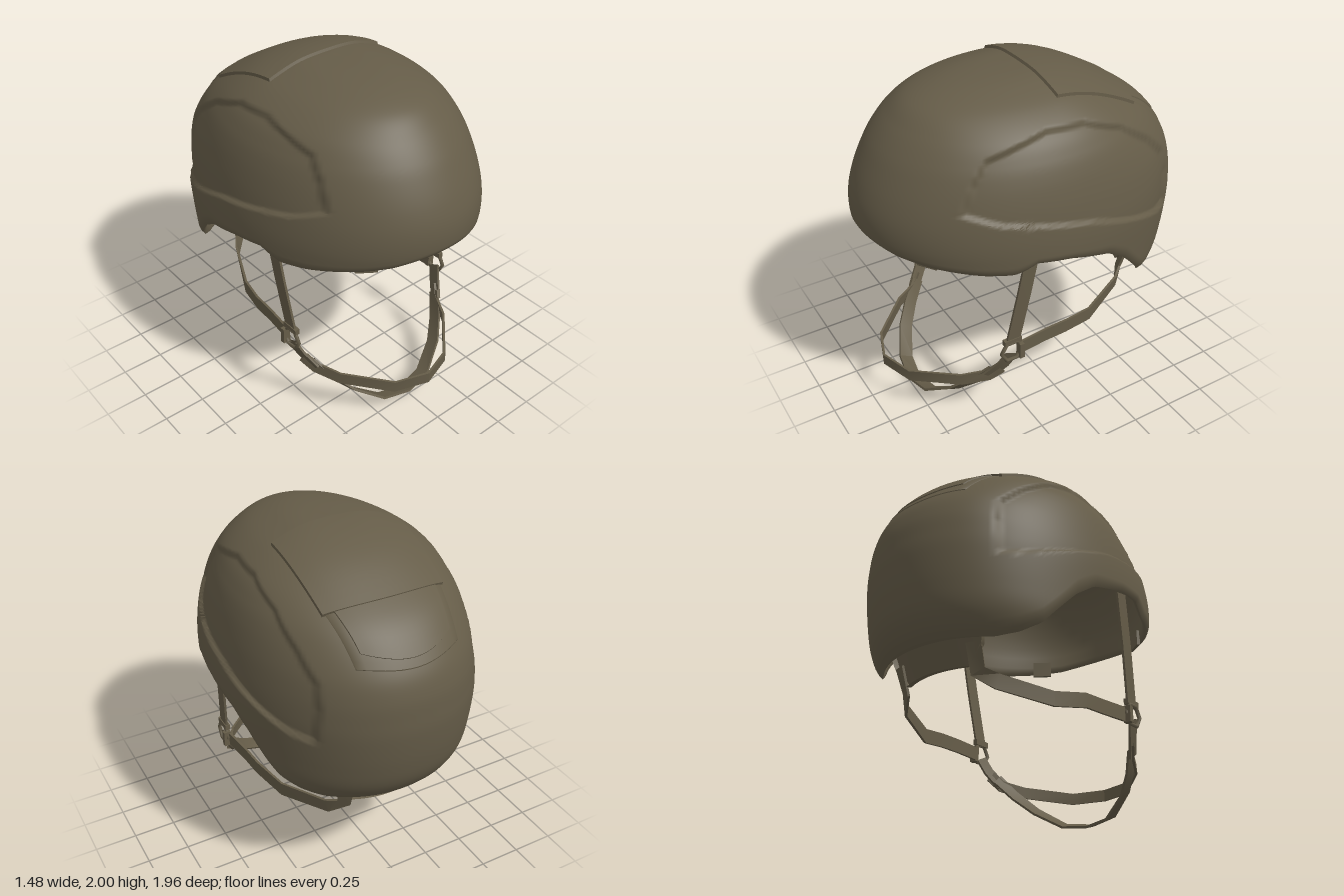
import * as THREE from 'three';
import { toCreasedNormals } from 'three/addons/utils/BufferGeometryUtils.js';

const olive = new THREE.MeshStandardMaterial({ color: 0x655c48, side: THREE.DoubleSide });
olive.name = 'olive drab';

// Horizontal sections of the shell, crown to hem: height, front, back and side reach
const Y = [1.985, 1.976, 1.947, 1.89, 1.8, 1.7, 1.6, 1.48, 1.365, 1.25, 1.13, 0.95, 0.8, 0.66];
const FRONT = [0, 0.25, 0.46, 0.63, 0.74, 0.825, 0.885, 0.94, 0.972, 0.975, 0.95, 0.93, 0.92, 0.9];
const BACK = [0, 0.1, 0.24, 0.4, 0.57, 0.735, 0.84, 0.925, 0.965, 0.978, 0.98, 0.96, 0.92, 0.83];
const SIDE = [0, 0.16, 0.28, 0.42, 0.545, 0.617, 0.662, 0.697, 0.72, 0.735, 0.738, 0.73, 0.72, 0.69];

// Hem height against the cosine of the azimuth (-1 = back, 1 = front)
const HEM = [[-1, 0.67], [-0.82, 0.67], [-0.7, 0.7], [-0.57, 0.76], [-0.46, 0.86], [-0.34, 0.97], [-0.2, 1.06],
  [0.07, 1.13], [0.28, 1.155], [0.35, 1.12], [0.41, 1.1], [0.57, 1.11], [0.8, 1.145], [0.92, 1.17], [1, 1.21]];

// Outline (z, y) of the recessed field on each side
const RECESS = [[-0.76, 1.1], [-0.765, 1.31], [-0.73, 1.45], [-0.58, 1.59], [-0.37, 1.73], [-0.12, 1.82], [0.11, 1.83],
  [0.29, 1.79], [0.46, 1.74], [0.55, 1.63], [0.63, 1.475], [0.46, 1.41], [0.24, 1.37], [-0.07, 1.31], [-0.39, 1.2],
  [-0.63, 1.12]].map(p => new THREE.Vector2(...p));

// Distance inside the recess outline, negative outside
function recessDistance(z, y) {
  const p = new THREE.Vector2(z, y);
  let inside = false, best = Infinity;
  RECESS.forEach((a, i) => {
    const b = RECESS[(i + 1) % RECESS.length], ab = b.clone().sub(a);
    const k = THREE.MathUtils.clamp(p.clone().sub(a).dot(ab) / ab.lengthSq(), 0, 1);
    best = Math.min(best, p.distanceTo(a.clone().addScaledVector(ab, k)));
    if ((a.y > y) !== (b.y > y) && z < a.x + ab.x * (y - a.y) / ab.y) inside = !inside;
  });
  return inside ? best : -best;
}

// Linear lookup in [key, value] pairs with rising keys
function lookup(table, k) {
  for (let i = 1; i < table.length; i++) {
    const [a, va] = table[i - 1], [b, vb] = table[i];
    if (k <= b || i === table.length - 1) return THREE.MathUtils.lerp(va, vb, THREE.MathUtils.clamp((k - a) / (b - a), 0, 1));
  }
}

// Smooth interpolation along a section list
function sample(list, t) {
  const n = list.length - 1;
  const i = Math.min(Math.floor(t), n - 1), f = t - i;
  const p1 = list[i], p2 = list[i + 1];
  const m1 = i > 0 ? (p2 - list[i - 1]) / 2 : p2 - p1;
  const m2 = i + 2 <= n ? (list[i + 2] - p1) / 2 : p2 - p1;
  const f2 = f * f, f3 = f2 * f;
  return (2 * f3 - 3 * f2 + 1) * p1 + (f3 - 2 * f2 + f) * m1 + (3 * f2 - 2 * f3) * p2 + (f3 - f2) * m2;
}

// Section index at which a rising test first holds
function solve(test) {
  let lo = 0, hi = Y.length - 1;
  for (let k = 0; k < 30; k++) {
    const mid = (lo + hi) / 2;
    if (test(mid)) hi = mid; else lo = mid;
  }
  return hi;
}
const reach = (z, t) => sample(z > 0 ? FRONT : BACK, t);

// The plan is an ellipse in front and slightly squarer behind
const power = z => (z > 0 ? 2 : 2.12);
const spread = c => Math.max(0, 1 - Math.abs(c) ** power(c)) ** (1 / power(c));

// Move a shell point outwards (positive) or inwards (negative)
const offset = (x, y, z, d) => [x * (1 + d / 0.74), y + d * Math.max(0, (y - 1.1) / 0.9), z * (1 + d / 0.98)];

function shellPoint(a, v, d) {
  const c = Math.cos(a);
  const hem = lookup(HEM, c);
  const t = v * solve(s => sample(Y, s) <= hem);
  const y = sample(Y, t), z = reach(c, t) * c;
  const sunk = d === 0 ? 0.024 * THREE.MathUtils.smoothstep(recessDistance(z, y), 0, 0.02) : 0;
  return offset(sample(SIDE, t) * spread(c) * Math.sign(Math.sin(a)), y, z, d - sunk);
}
function fromTop(x, z, d) {
  const n = power(z);
  const t = solve(s => (Math.abs(x) / (sample(SIDE, s) + 1e-6)) ** n + (Math.abs(z) / (reach(z, s) + 1e-6)) ** n <= 1);
  return offset(x, sample(Y, t), z, d);
}

// Surface through a grid of points f(i, j)
function grid(nu, nv, f, crease = 0.7) {
  const pos = [], index = [];
  for (let j = 0; j <= nv; j++) for (let i = 0; i <= nu; i++) pos.push(...f(i, j));
  for (let j = 0; j < nv; j++) for (let i = 0; i < nu; i++) {
    const a = j * (nu + 1) + i, d = a + nu + 1;
    index.push(a, d, a + 1, a + 1, d, d + 1);
  }
  const g = new THREE.BufferGeometry();
  g.setAttribute('position', new THREE.Float32BufferAttribute(pos, 3));
  g.setIndex(index);
  return toCreasedNormals(g, crease);
}

// Raised plate f(u, v, lift) with bevelled walls around its border
function plate(nu, nv, lift, base, f) {
  const inner = k => 0.015 + 0.97 * k;
  return grid(nu + 2, nv + 2, (i, j) => {
    const border = i === 0 || j === 0 || i === nu + 2 || j === nv + 2;
    const u = THREE.MathUtils.clamp((i - 1) / nu, 0, 1), v = THREE.MathUtils.clamp((j - 1) / nv, 0, 1);
    return border ? f(u, v, base) : f(inner(u), inner(v), lift);
  });
}

// Flat webbing along a path; facing(p) gives the outward side
function strap(points, width, facing) {
  const path = points.map(p => new THREE.Vector3(...p));
  const n = path.length - 1, h = 0.007;
  const corners = path.map((p, i) => {
    const t = path[Math.min(i + 1, n)].clone().sub(path[Math.max(i - 1, 0)]).normalize();
    const out = facing(p);
    out.addScaledVector(t, -out.dot(t)).normalize();
    const across = t.clone().cross(out).multiplyScalar(width / 2);
    out.multiplyScalar(h);
    return [[1, 1], [1, -1], [-1, -1], [-1, 1], [1, 1]].map(([a, b]) =>
      p.clone().addScaledVector(across, a).addScaledVector(out, b).toArray());
  });
  return grid(4, n, (i, j) => corners[j][i], 0.5);
}
const radialFlat = p => new THREE.Vector3(p.x, 0, p.z);
const sideways = p => new THREE.Vector3(Math.sign(p.x), 0, 0);
const underChin = p => new THREE.Vector3(p.x, p.y - 0.5, 0.15);
const mirrored = half => [...half, ...half.slice(0, -1).reverse().map(([x, y, z]) => [-x, y, z])];

export function createModel() {
  const model = new THREE.Group();
  const add = (name, geometry) => {
    const mesh = new THREE.Mesh(geometry, olive);
    mesh.name = name;
    return model.add(mesh) && mesh;
  };

  // Shell: outer skin with the recessed side fields, rolled hem, inner skin
  const rows = [];
  for (let k = 0; k <= 100; k++) rows.push([0.97 * k / 100, 0]);
  rows.push([0.988, -0.006], [1, -0.02], [0.99, -0.036]);
  for (let k = 14; k >= 0; k--) rows.push([0.96 * k / 14, -0.045]);
  add('shell', grid(200, rows.length - 1, (i, j) => shellPoint(i / 200 * Math.PI * 2, ...rows[j]), 1.1));

  // Panels on the crown and the upper back
  add('crownPanel', plate(14, 12, 0.015, -0.004, (u, v, d) => {
    const k = 2 * u - 1;
    const x = k * (0.365 + 0.02 * Math.sin(v * Math.PI / 1.6));
    return fromTop(x, THREE.MathUtils.lerp(-0.63 + 0.06 * k * k, -0.025 - 0.015 * k * k, v), d);
  }));
  const backPlate = (name, half, rear, lift) => add(name, plate(14, 12, lift, -0.003, (u, v, d) => {
    const k = 2 * u - 1;
    return fromTop(k * (half + 0.05 * v), THREE.MathUtils.lerp(rear + 0.1 * k * k, -0.55 + 0.04 * k * k, v), d);
  }));
  backPlate('backPanel', 0.31, -0.91, 0.004);
  backPlate('backPanelCentre', 0.27, -0.88, 0.009);

  // Nape pad
  const padWidth = [[0.56, 0.23], [0.68, 0.32], [0.82, 0.34], [1, 0.19], [1.06, 0.02]];
  add('napePad', plate(10, 14, 0.02, -0.02, (u, v, d) => {
    const y = 1.06 - 0.5 * v;
    const x = (2 * u - 1) * lookup(padWidth, y);
    return [x, y, -0.7 - (y - 0.57) * 0.45 + x * x + d];
  }));

  // Straps, buckles and brow pads on each side
  for (const s of [1, -1]) {
    const side = s > 0 ? 'left' : 'right';
    const at = list => list.map(([x, y, z]) => [x * s, y, z]);
    add(side + 'FrontStrap', strap(at([[0.61, 1.22, 0.23], [0.595, 0.9, 0.285], [0.57, 0.55, 0.345]]), 0.085, sideways));
    add(side + 'RearStrap', strap(at([[0.565, 0.49, 0.31], [0.54, 0.485, 0.1], [0.53, 0.48, -0.05], [0.47, 0.44, -0.26],
      [0.33, 0.48, -0.56], [0.26, 0.53, -0.63], [0.27, 0.68, -0.68]]), 0.085, radialFlat));
    add(side + 'ChinStrapJoin', strap(at([[0.57, 0.47, 0.35], [0.54, 0.39, 0.39], [0.49, 0.3, 0.46]]), 0.08, sideways));

    const ring = add(side + 'BuckleRing', new THREE.TorusGeometry(0.068, 0.012, 6, 6));
    ring.rotation.y = Math.PI / 2;
    ring.position.set(0.575 * s, 0.5, 0.35);
    const clip = add(side + 'BuckleClip', new THREE.BoxGeometry(0.045, 0.1, 0.03));
    clip.position.set(0.578 * s, 0.49, 0.295);
    const bar = add(side + 'BuckleBar', new THREE.BoxGeometry(0.03, 0.035, 0.11));
    bar.position.set(0.57 * s, 0.57, 0.345);
    const pad = add(side + 'BrowPad', new THREE.BoxGeometry(0.12, 0.1, 0.02));
    pad.position.set(0.375 * s, 1.17, 0.75);
    pad.rotation.y = 0.6 * s;
  }

  // Straps around the chin
  add('frontChinStrap', strap(mirrored([[0.53, 0.36, 0.4], [0.49, 0.3, 0.46], [0.42, 0.275, 0.6], [0.2, 0.245, 0.83],
    [0, 0.25, 0.9]]), 0.07, radialFlat));
  add('lowerChinStrap', strap(mirrored([[0.5, 0.34, 0.43], [0.43, 0.24, 0.52], [0.33, 0.14, 0.61], [0.17, 0.04, 0.69],
    [0, 0.02, 0.72]]), 0.085, underChin));

  return model;
}
